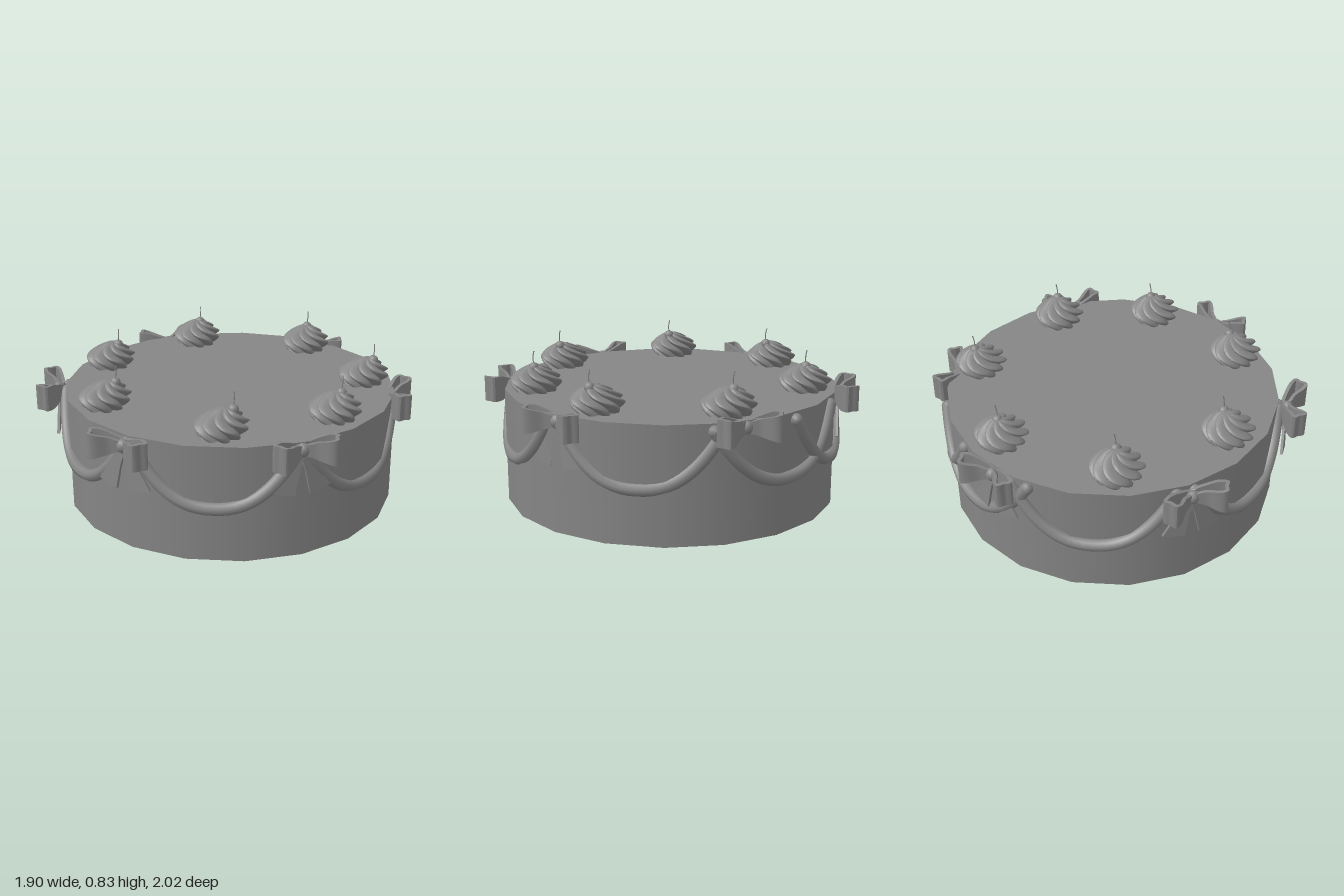
import * as THREE from 'three';
import { toCreasedNormals } from 'three/addons/utils/BufferGeometryUtils.js';

const GREY = 0x858585;
const mat = new THREE.MeshStandardMaterial({ color: GREY });
const thin = new THREE.MeshStandardMaterial({ color: GREY, side: THREE.DoubleSide });
const V = (x, y, z) => new THREE.Vector3(x, y, z);
const deg = THREE.MathUtils.degToRad;
const R = 0.896, TOP = 0.61;

function add(parent, name, geo, material = mat) {
  const m = new THREE.Mesh(geo, material);
  m.name = name;
  parent.add(m);
  return m;
}

// Skin closed rings of points into a surface; wrap joins the last ring to the first
function loft(rings, crease, wrap = false) {
  const n = rings[0].length, index = [];
  const last = wrap ? rings.length : rings.length - 1;
  for (let i = 0; i < last; i++) for (let k = 0; k < n; k++) {
    const j = (i + 1) % rings.length, l = (k + 1) % n;
    index.push(i * n + k, j * n + k, i * n + l, i * n + l, j * n + k, j * n + l);
  }
  const g = new THREE.BufferGeometry().setFromPoints(rings.flat());
  g.setIndex(index);
  return toCreasedNormals(g, crease);
}

// Eight-lobed twisted cream; its tip leans by (dx, dz)
function swirlGeometry(dx, dz) {
  const profile = new THREE.SplineCurve([[0.001, 0.142], [0.035, 0.138], [0.08, 0.115], [0.118, 0.088],
    [0.14, 0.062], [0.13, 0.03], [0.105, -0.005]].map(p => new THREE.Vector2(...p)));
  const rings = profile.getPoints(16).map((p, i) => {
    const lean = Math.max(0, p.y / 0.142) ** 2, ring = [];
    for (let k = 0; k < 64; k++) {
      const t = k / 64 * Math.PI * 2;
      const r = p.x * (0.7 + 0.3 * Math.abs(Math.cos(4 * t)));
      const a = t + i / 16 * 2.5;
      ring.push(V(r * Math.sin(a) + dx * lean, p.y, r * Math.cos(a) + dz * lean));
    }
    return ring;
  });
  return loft(rings, 0.7);
}

// Ribbon loop: a band standing on edge, flaring away from the knot
function loopGeometry() {
  const path = new THREE.CatmullRomCurve3([[0.01, 0.02], [0.08, 0.035], [0.15, 0.065], [0.168, 0.08],
    [0.15, 0.1], [0.135, 0.132], [0.11, 0.125], [0.06, 0.075], [0.01, 0.045]].map(p => V(p[0], 0, p[1])), true);
  const rings = [];
  for (let i = 0; i < 32; i++) {
    const p = path.getPoint(i / 32), t = path.getTangent(i / 32);
    const h = 0.022 + 0.046 * Math.min(1, p.x / 0.13), w = 0.009;
    rings.push([[1, 1], [1, -1], [-1, -1], [-1, 1]].map(([o, s]) => V(p.x + t.z * w * o, h * s, p.z - t.x * w * o)));
  }
  return loft(rings, 0.6, true);
}

// Ribbon tail: a flared strip with a slanted end
function tailGeometry(side) {
  const s = new THREE.Shape([[0, 0], [0.05, -0.04], [0.155, -0.195], [0.1, -0.212], [0.04, -0.222],
    [0.015, -0.1], [-0.01, -0.02]].map(p => new THREE.Vector2(p[0] * side, p[1])));
  return new THREE.ExtrudeGeometry(s, { depth: 0.014, bevelEnabled: false });
}

function makeBow(loop) {
  const bow = new THREE.Group();
  bow.name = 'bow';
  add(bow, 'leftLoop', loop, thin);
  add(bow, 'rightLoop', loop, thin).rotation.z = Math.PI;
  const knot = add(bow, 'knot', new THREE.SphereGeometry(1, 12, 8));
  knot.scale.set(0.034, 0.036, 0.032);
  knot.position.z = 0.042;
  for (const side of [1, -1]) {
    const tail = add(bow, side > 0 ? 'leftTail' : 'rightTail', tailGeometry(side), thin);
    tail.position.set(0, -0.01, 0.03);
    tail.rotation.set(-0.06, side * 0.1, 0);
  }
  return bow;
}

// Draped rope hugging the side of the cake
function makeSwag(radius) {
  const swag = new THREE.Group();
  swag.name = 'swag';
  const pts = [];
  for (let i = -8; i <= 8; i++) {
    const t = i / 8, a = deg(27) * t;
    pts.push(V(radius * Math.sin(a), 0.284 + 0.286 * Math.abs(t) ** 2.4, radius * Math.cos(a)));
  }
  add(swag, 'rope', new THREE.TubeGeometry(new THREE.CatmullRomCurve3(pts), 28, 0.033, 8));
  for (const p of [pts[0], pts[16]]) add(swag, 'ropeEnd', new THREE.SphereGeometry(0.033, 8, 6)).position.copy(p);
  return swag;
}

export function createModel() {
  const model = new THREE.Group();
  model.name = 'cake';
  const base = new THREE.Group();
  base.name = 'decoratedBase';
  base.position.set(0.01, 0, -0.041);
  model.add(base);

  add(base, 'cakeBody', new THREE.CylinderGeometry(R, R, TOP, 19)).position.y = TOP / 2;

  // Swags (angle, radius), two of which overlap at the back
  for (const [a, r] of [[28, 0.892], [84, 0.881], [143, 0.88], [194, 0.89], [224, 0.893], [272, 0.895], [332, 0.895]]) {
    const swag = makeSwag(r);
    swag.rotation.y = deg(a);
    base.add(swag);
  }

  // Bows around the rim (angle, radius), some pressed deeper into the side
  const loop = loopGeometry();
  for (const [a, r] of [[0, 0.9], [56, 0.862], [115, 0.842], [178, 0.832], [238, 0.868], [303, 0.9]]) {
    const bow = makeBow(loop);
    bow.position.set(r * Math.sin(deg(a)), 0.573, r * Math.cos(deg(a)));
    bow.rotation.y = deg(a);
    base.add(bow);
  }

  // Cream swirls: x, z, then offset of the cherry
  const swirls = [[0.065, -0.78, -0.01, -0.03], [0.61, -0.45, 0.05, -0.02], [0.73, 0.1, 0.02, -0.03],
    [0.375, 0.6, 0.045, -0.045], [-0.34, 0.61, 0.05, -0.035], [-0.72, 0.095, 0.05, -0.015], [-0.545, -0.52, 0.01, -0.02]];
  for (const [x, z, dx, dz] of swirls) {
    const g = new THREE.Group();
    g.name = 'creamSwirl';
    g.position.set(x, TOP, z);
    add(g, 'cream', swirlGeometry(dx * 0.5, dz * 0.5));
    add(g, 'cherry', new THREE.SphereGeometry(0.028, 12, 8)).position.set(dx, 0.128, dz);
    const stem = new THREE.QuadraticBezierCurve3(V(dx, 0.15, dz), V(dx + 0.008, 0.18, dz), V(dx, 0.218, dz - 0.008));
    add(g, 'stem', new THREE.TubeGeometry(stem, 6, 0.003, 5));
    model.add(g);
  }
  return model;
}
